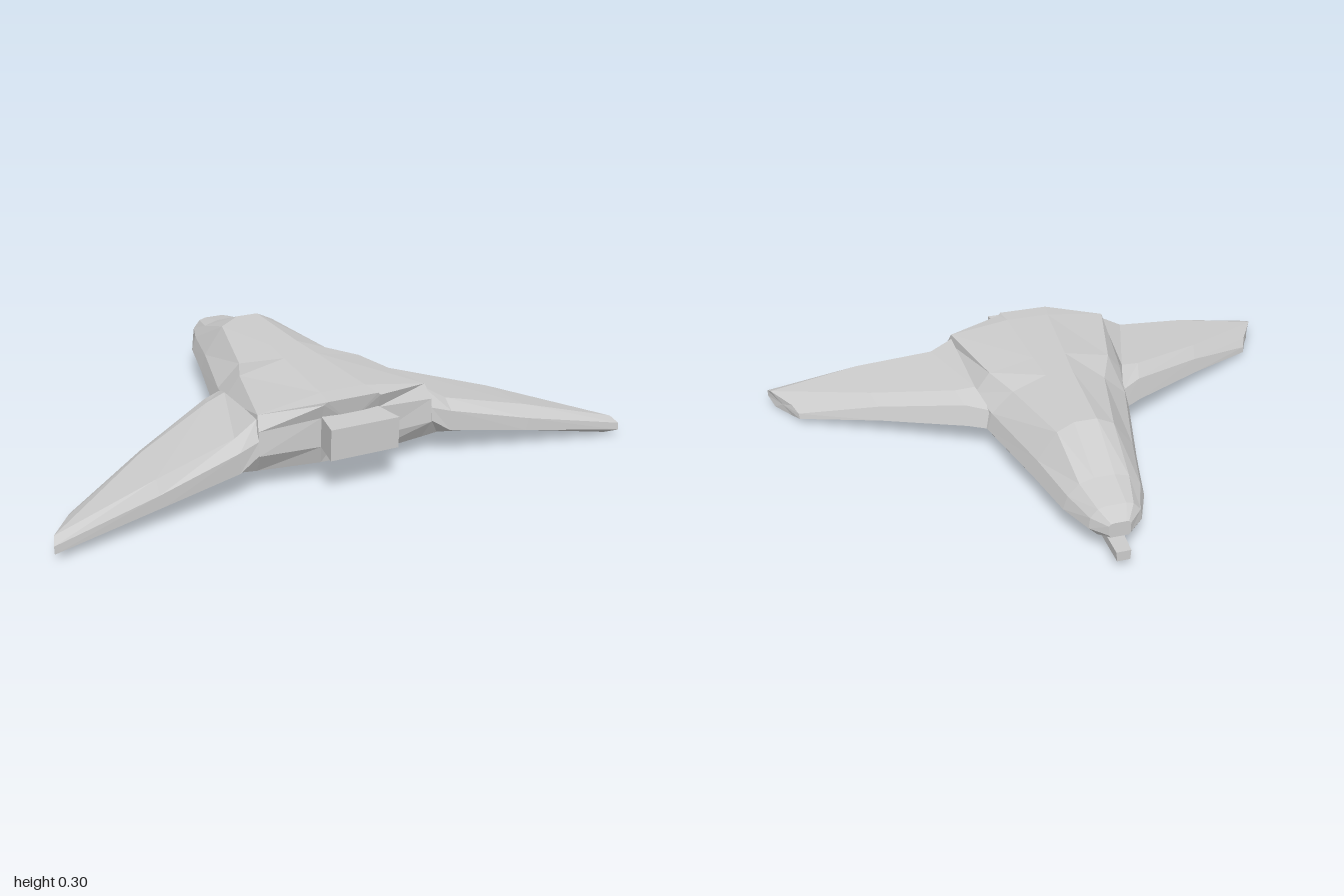
import * as THREE from 'three';

const material = new THREE.MeshStandardMaterial({ color: 0xcccccc, flatShading: true });

// Skins a row of equal-length point loops and closes both ends
function loft(name, loops) {
  const n = loops[0].length;
  const pts = loops.flat();
  const tris = [];
  for (let s = 0; s < loops.length - 1; s++) {
    for (let i = 0; i < n; i++) {
      const a = s * n + i, b = s * n + (i + 1) % n;
      tris.push([a, b, b + n], [a, b + n, a + n]);
    }
  }
  [0, loops.length - 1].forEach((s, end) => {
    const centre = [0, 1, 2].map(k => loops[s].reduce((sum, p) => sum + p[k], 0) / n);
    const c = pts.push(centre) - 1;
    for (let i = 0; i < n; i++) {
      const a = s * n + i, b = s * n + (i + 1) % n;
      tris.push(end ? [c, a, b] : [c, b, a]);
    }
  });
  // Turn all faces outward whichever way the loops run
  const v = pts.map(p => new THREE.Vector3(...p));
  const volume = tris.reduce((sum, [a, b, c]) => sum + v[a].dot(v[b].clone().cross(v[c])), 0);
  if (volume < 0) tris.forEach(t => t.reverse());
  const geo = new THREE.BufferGeometry();
  geo.setAttribute('position', new THREE.Float32BufferAttribute(pts.flat(), 3));
  geo.setIndex(tris.flat());
  const flat = geo.toNonIndexed();
  flat.computeVertexNormals();
  const mesh = new THREE.Mesh(flat, material);
  mesh.name = name;
  return mesh;
}

const mirrorX = ([x, y, z]) => [-x, y, z];
// Half section, top to bottom, completed on the other side
const symmetric = half => [...half, ...half.map(mirrorX).reverse()];
// Four-cornered section: half widths at the top and bottom
const quad = (z, xTop, yTop, xBottom, yBottom, zBottom = z) =>
  symmetric([[xTop, yTop, z], [xBottom, yBottom, zBottom]]);
const atZ = (z, half) => half.map(([x, y]) => [x, y, z]);

export function createModel() {
  const model = new THREE.Group();
  model.name = 'spacecraft';

  // Hull from nose to stern: roof, shoulder, side, chine, belly
  const hull = [
    atZ(-0.627, [[0.02, 0.15], [0.03, 0.148], [0.037, 0.14], [0.037, 0.105], [0.03, 0.095]]),
    atZ(-0.58, [[0.035, 0.187], [0.06, 0.18], [0.085, 0.15], [0.09, 0.11], [0.06, 0.08]]),
    atZ(-0.46, [[0.035, 0.215], [0.085, 0.2], [0.125, 0.16], [0.14, 0.11], [0.1, 0.078]]),
    atZ(-0.25, [[0.04, 0.3], [0.1, 0.27], [0.17, 0.17], [0.187, 0.11], [0.14, 0.073]]),
    atZ(0.07, [[0.05, 0.3], [0.17, 0.252], [0.25, 0.175], [0.267, 0.11], [0.24, 0.07]]),
    atZ(0.2, [[0.06, 0.3], [0.225, 0.265], [0.28, 0.19], [0.285, 0.11], [0.27, 0.07]]),
    [[0.08, 0.298, 0.51], [0.3, 0.265, 0.515], [0.31, 0.22, 0.545], [0.31, 0.14, 0.553], [0.3, 0.07, 0.51]],
    [[0.09, 0.295, 0.58], [0.1, 0.285, 0.577], [0.1, 0.235, 0.56], [0.1, 0.135, 0.56], [0.09, 0.07, 0.54]],
  ];
  model.add(loft('hull', hull.map(symmetric)));

  // Wing from root to tip: leading edge, over the top, trailing edge, underside
  const wing = [
    [[0.24, 0.11, 0.06], [0.25, 0.175, 0.09], [0.28, 0.215, 0.2], [0.3, 0.25, 0.51],
      [0.31, 0.19, 0.55], [0.31, 0.145, 0.555], [0.3, 0.07, 0.51], [0.24, 0.07, 0.13]],
    [[0.33, 0.105, 0.12], [0.33, 0.178, 0.145], [0.35, 0.2, 0.22], [0.38, 0.202, 0.52],
      [0.38, 0.17, 0.562], [0.38, 0.1, 0.563], [0.36, 0.076, 0.51], [0.34, 0.074, 0.2]],
    [[0.62, 0.07, 0.298], [0.62, 0.12, 0.315], [0.64, 0.145, 0.38], [0.66, 0.15, 0.58],
      [0.66, 0.11, 0.61], [0.65, 0.068, 0.61], [0.64, 0.06, 0.56], [0.63, 0.05, 0.38]],
    [[0.9, 0.02, 0.472], [0.902, 0.04, 0.478], [0.92, 0.055, 0.52], [0.99, 0.065, 0.63],
      [1, 0.05, 0.665], [1, 0.025, 0.667], [0.98, 0, 0.62], [0.925, 0.005, 0.53]],
  ];
  model.add(loft('leftWing', wing));
  model.add(loft('rightWing', wing.map(loop => loop.map(mirrorX))));

  // Flared engine block at the stern
  model.add(loft('engine', [
    quad(0.5, 0.09, 0.24, 0.09, 0.135),
    quad(0.665, 0.12, 0.24, 0.12, 0.135),
  ]));

  // Gun slung under the nose
  model.add(loft('gunHousing', [
    quad(-0.23, 0.075, 0.078, 0.045, 0.025, -0.245),
    quad(-0.468, 0.035, 0.078, 0.03, 0.027),
  ]));
  model.add(loft('gunBarrel', [
    quad(-0.46, 0.033, 0.066, 0.03, 0.027),
    quad(-0.67, 0.025, 0.066, 0.022, 0.03),
  ]));

  return model;
}
